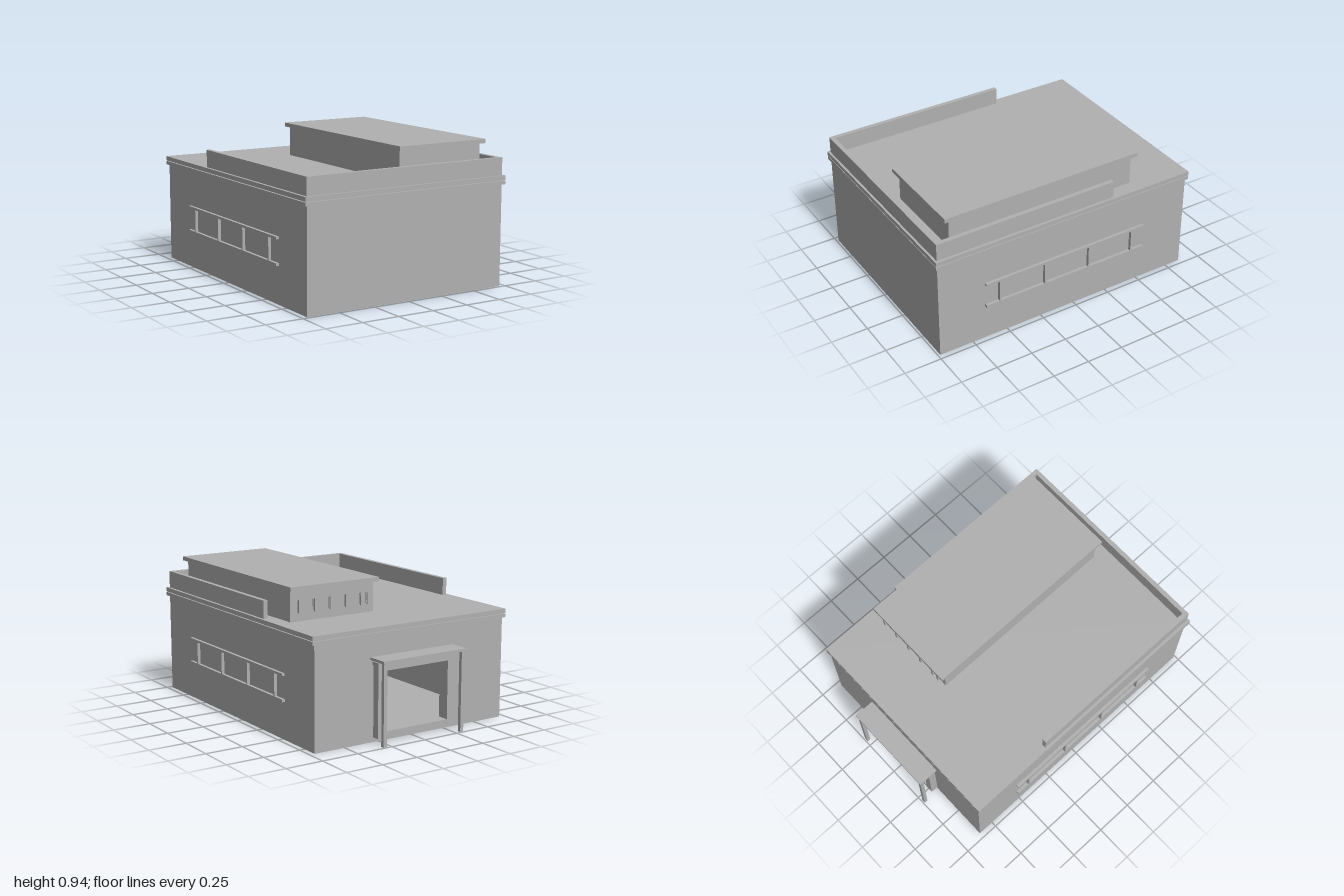
import * as THREE from 'three';

export function createModel() {
  const model = new THREE.Group();
  model.name = 'building';
  const concrete = new THREE.MeshStandardMaterial({ color: 0xb0b0b0 });
  concrete.name = 'grey concrete';

  const add = (name, geometry, parent) => {
    const mesh = new THREE.Mesh(geometry, concrete);
    mesh.name = name;
    parent.add(mesh);
    return mesh;
  };
  // Box given by its limits along each axis
  const box = (name, x0, x1, y0, y1, z0, z1, parent = model) => {
    const mesh = add(name, new THREE.BoxGeometry(x1 - x0, y1 - y0, z1 - z0), parent);
    mesh.position.set((x0 + x1) / 2, (y0 + y1) / 2, (z0 + z1) / 2);
    return mesh;
  };
  const group = (name) => {
    const g = new THREE.Group();
    g.name = name;
    model.add(g);
    return g;
  };

  const W = 0.715, FRONT = 0.985, BACK = -0.86, T = 0.03;

  // Hollow hall with a doorway in the back wall
  const hall = group('hall');
  box('floor', -W, W, 0, 0.02, BACK, FRONT, hall);
  box('frontWall', -W, W, 0.02, 0.66, FRONT - T, FRONT, hall);
  for (const s of [-1, 1]) {
    const wall = box('sideWall', -T / 2, T / 2, 0.02, 0.66, BACK + T, FRONT - T, hall);
    wall.position.x = s * (W - T / 2);
  }
  const back = new THREE.Shape();
  back.moveTo(-W, 0.02).lineTo(W, 0.02).lineTo(W, 0.66).lineTo(-W, 0.66).closePath();
  const doorway = new THREE.Path();
  doorway.moveTo(-0.24, 0.07).lineTo(-0.24, 0.45).lineTo(0.24, 0.45).lineTo(0.24, 0.07).closePath();
  back.holes.push(doorway);
  add('backWall', new THREE.ExtrudeGeometry(back, { depth: T, bevelEnabled: false }), hall)
    .position.z = BACK;

  // Two-band cornice and flat roof
  const roof = group('roof');
  box('lowerCornice', -0.733, 0.733, 0.66, 0.683, -0.871, 1, roof);
  box('corniceGroove', -W, W, 0.683, 0.688, BACK, FRONT, roof);
  box('upperCornice', -0.733, 0.733, 0.688, 0.716, -0.871, 1, roof);

  // Parapet around the front part of the roof
  const parapet = group('parapet');
  box('frontParapet', -W, W, 0.716, 0.83, FRONT - T, FRONT, parapet);
  box('leftParapet', W - T, W, 0.716, 0.83, -0.285, FRONT - T, parapet);
  box('rightParapet', -W, T - W, 0.716, 0.83, -0.285, FRONT - T, parapet);

  // Raised rooftop room with small bars on its back
  const room = group('rooftopRoom');
  box('roomWalls', 0.02, 0.635, 0.716, 0.913, -0.468, 0.855, room);
  box('roomRoof', 0, 0.655, 0.913, 0.94, -0.505, 0.89, room);
  for (const x of [0.58, 0.465, 0.35, 0.235, 0.12, 0.07]) {
    box('barBacking', x - 0.007, x + 0.007, 0.775, 0.845, -0.476, -0.468, room);
    box('roomBar', x - 0.008, x + 0.008, 0.77, 0.853, -0.493, -0.483, room);
  }

  // Railings on both side walls
  for (const s of [-1, 1]) {
    const rail = group(s > 0 ? 'leftRailing' : 'rightRailing');
    const bar = (name, y0, y1, z0, z1) => {
      box(name, -0.01, 0.01, y0, y1, z0, z1, rail).position.x = s * 0.726;
    };
    bar('lowerRail', 0.243, 0.26, -0.53, 0.66);
    bar('upperRail', 0.407, 0.423, -0.53, 0.66);
    for (let i = 0; i < 4; i++) {
      const z = 0.56 - i * 0.331;
      bar('railPost', 0.26, 0.407, z - 0.006, z + 0.006);
    }
  }

  // Door surround and porch at the back
  const porch = group('porch');
  box('sill', -0.29, 0.29, 0.03, 0.07, -0.91, BACK, porch);
  box('header', -0.29, 0.29, 0.45, 0.485, -0.91, BACK, porch);
  box('headerCap', -0.3, 0.3, 0.485, 0.508, -0.925, BACK, porch);
  box('porchRoof', -0.315, 0.315, 0.518, 0.535, -1, BACK, porch);
  for (const s of [-1, 1]) {
    box('jamb', -0.025, 0.025, 0.07, 0.45, -0.91, BACK, porch).position.x = s * 0.265;
    box('porchPost', -0.012, 0.012, 0, 0.518, -0.992, -0.968, porch).position.x = s * 0.295;
  }
  return model;
}
